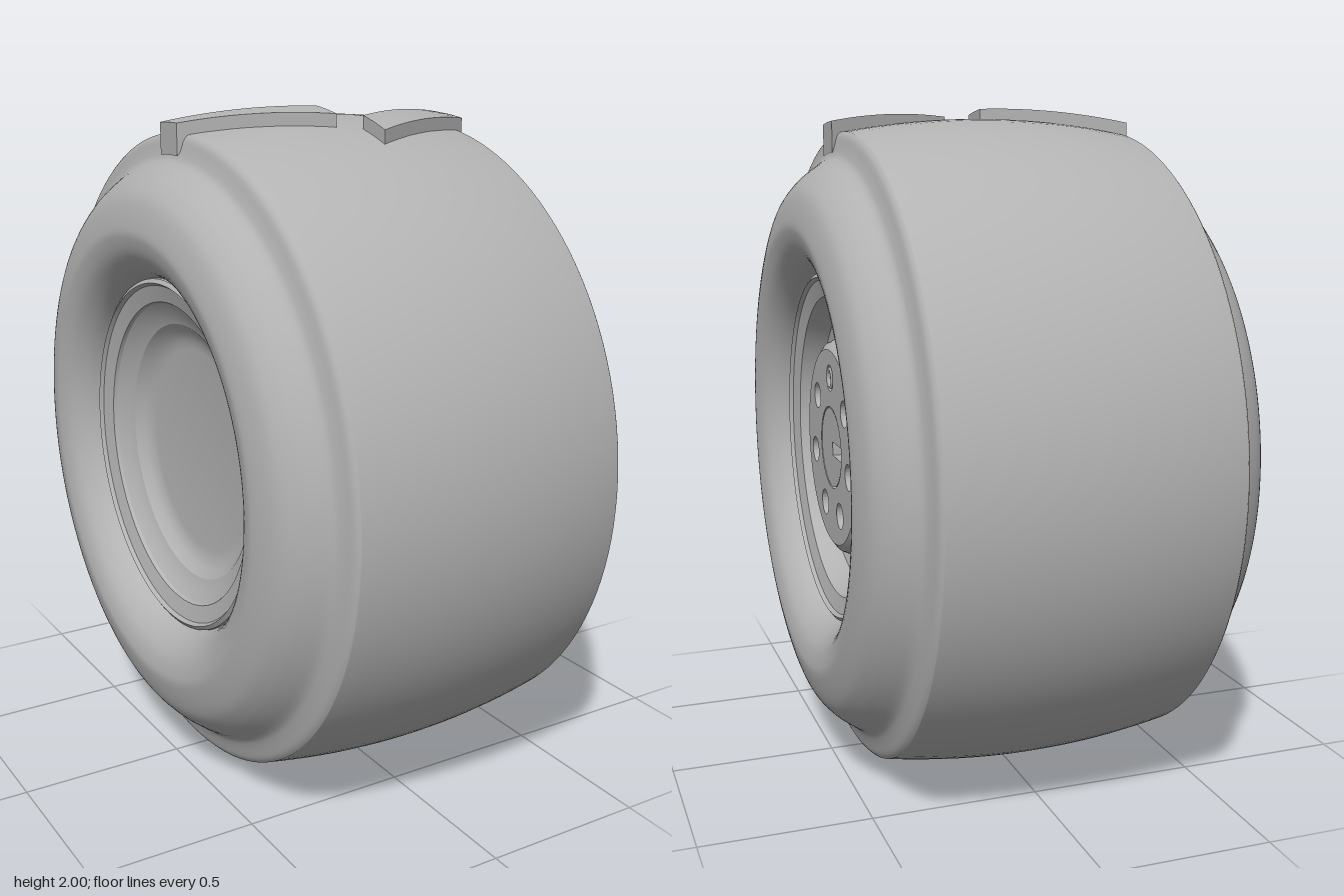
import * as THREE from 'three';
import { toCreasedNormals } from 'three/addons/utils/BufferGeometryUtils.js';

const CY = 0.983; // axle height
const grey = new THREE.MeshStandardMaterial({ color: 0xb3b3b3 });
grey.name = 'grey';

const crown = (x) => 0.983 - 0.215 * x * x; // tyre radius across the tread

function add(parent, name, geometry) {
  const mesh = new THREE.Mesh(geometry, grey);
  mesh.name = name;
  parent.add(mesh);
  return mesh;
}

// revolve [radius, x] points about the x axis
function revolve(points, segments = 128) {
  const g = new THREE.LatheGeometry(points.map(([r, x]) => new THREE.Vector2(r, x)), segments);
  return g.rotateZ(-Math.PI / 2);
}

// extrude a shape towards +x, from x0 to x1
function plate(shape, x0, x1) {
  const g = new THREE.ExtrudeGeometry(shape, { depth: x1 - x0, bevelEnabled: false, curveSegments: 48 });
  return toCreasedNormals(g.rotateY(Math.PI / 2).translate(x0, 0, 0), 0.6);
}

function circlePath(x, y, r) {
  return new THREE.Path().absarc(x, y, r, 0, Math.PI * 2, true);
}

// tread block: a box bent over the crown, its outer end hanging over the shoulder
function treadBlock(xa, za, xb, zb, width) {
  const g = new THREE.BoxGeometry(1, 1, 1, 16, 1, 4);
  const p = g.attributes.position;
  for (let i = 0; i < p.count; i++) {
    const u = p.getX(i) + 0.5;
    const x = xa + (xb - xa) * u;
    const z = za + (zb - za) * u + p.getZ(i) * width;
    let r = crown(x) + (p.getY(i) > 0 ? 0.037 : -0.02);
    if (p.getY(i) < 0 && Math.abs(x) > 0.435) r = 0.885;
    p.setXYZ(i, x, Math.sqrt(r * r - z * z), z);
  }
  return toCreasedNormals(g, 0.5);
}

export function createModel() {
  const model = new THREE.Group();
  model.name = 'wheel';
  const wheel = new THREE.Group();
  wheel.name = 'wheelAssembly';
  wheel.position.y = CY;
  model.add(wheel);

  // tyre: sidewall and shoulder curve, mirrored, joined by the crown
  const side = new THREE.SplineCurve([
    [0.53, 0.48], [0.555, 0.525], [0.6, 0.565], [0.65, 0.583], [0.69, 0.584], [0.765, 0.563],
    [0.81, 0.53], [0.84, 0.495], [0.868, 0.457], [0.895, 0.443], [0.93, 0.432], [0.945, 0.42],
  ].map(([r, x]) => new THREE.Vector2(r, x))).getPoints(44).map((v) => [v.x, v.y]);
  const top = [];
  for (let i = 1; i < 16; i++) {
    const x = -0.42 + (0.84 * i) / 16;
    top.push([crown(x), x]);
  }
  const left = side.map(([r, x]) => [r, -x]);
  add(wheel, 'tyre', revolve([...left, ...top, ...side.slice().reverse()]));

  // rim lips with stepped seats
  const lip = [[0.535, 0.47], [0.53, 0.492], [0.518, 0.5], [0.51, 0.488], [0.46, 0.475]];
  add(wheel, 'outerRim', toCreasedNormals(revolve([
    ...lip, [0.455, 0.465], [0.42, 0.41], [0.39, 0.4], [0.4, 0.2], [0.385, 0.2],
  ]), 0.4));
  add(wheel, 'innerRim', toCreasedNormals(revolve([
    [0, -0.39], [0.31, -0.39], [0.335, -0.393], [0.365, -0.406], [0.39, -0.43], [0.42, -0.44], [0.455, -0.465],
    ...lip.slice().reverse().map(([r, x]) => [r, -x]),
  ]), 0.4));

  // hub cone and its floor behind the bolt holes
  add(wheel, 'hubCone', revolve([[0.388, 0.2], [0.36, 0.33], [0.335, 0.435], [0.32, 0.466], [0.3, 0.48]], 96));
  add(wheel, 'hubFloor', revolve([[0.3, 0.435], [0, 0.435]], 64));

  // hub face with seven bolt holes and a central opening
  const face = new THREE.Shape().absarc(0, 0, 0.3, 0, Math.PI * 2, false);
  for (let i = 0; i < 7; i++) {
    const a = Math.PI / 2 + (i * Math.PI * 2) / 7;
    face.holes.push(circlePath(0.215 * Math.cos(a), 0.215 * Math.sin(a), 0.04));
  }
  face.holes.push(circlePath(0, 0, 0.126));
  add(wheel, 'hubFace', plate(face, 0.43, 0.48));

  // centre cap with a key slot
  const a = Math.asin(0.021 / 0.122);
  const cap = new THREE.Shape().absarc(0, 0, 0.122, a, Math.PI * 2 - a, false);
  cap.lineTo(0.017, -0.021);
  cap.lineTo(0.017, 0.021);
  cap.closePath();
  add(wheel, 'centreCap', plate(cap, 0.43, 0.479));

  // stud filling the top hole
  const stud = new THREE.Group();
  stud.name = 'stud';
  stud.position.set(0, 0.215, 0);
  wheel.add(stud);
  add(stud, 'studRing', revolve([
    [0.034, 0.435], [0.034, 0.478], [0.028, 0.484], [0.022, 0.478], [0.022, 0.455],
  ], 32));
  add(stud, 'studPin', toCreasedNormals(revolve([[0.013, 0.435], [0.013, 0.475], [0, 0.475]], 24), 0.5));

  // two slanted tread blocks
  add(wheel, 'rightTreadBlock', treadBlock(-0.45, -0.035, -0.038, 0.152, 0.108));
  add(wheel, 'leftTreadBlock', treadBlock(0.035, 0.288, 0.448, 0.093, 0.112));

  return model;
}
